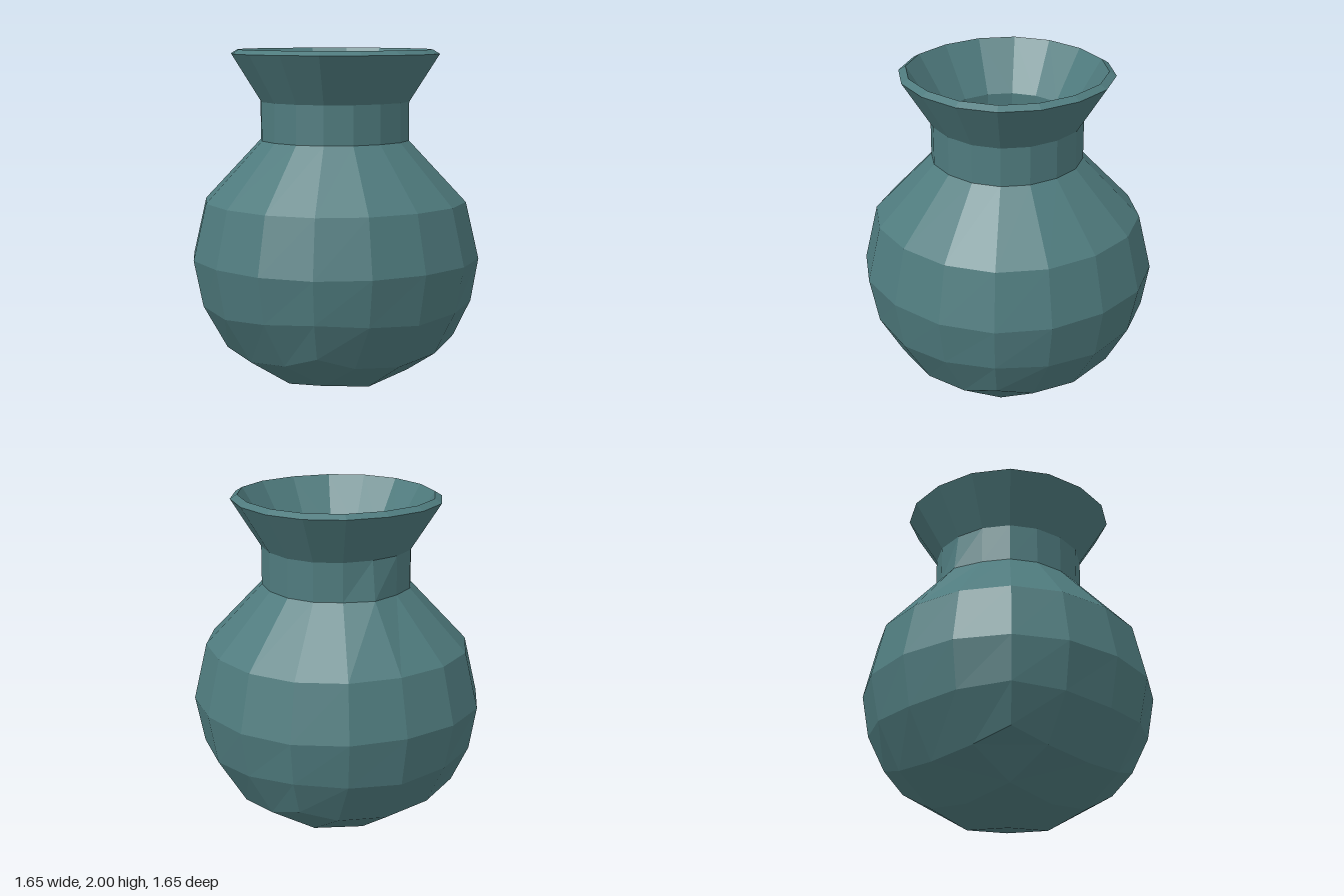
import * as THREE from 'three';

const SIDES = 16;
const CENTRE_Y = 0.83;

// Quarter of one rounded-cube face: sideways reach U and outward reach W,
// indexed by grid steps from the middle of the face.
const U = [[0, 0, 0], [0.33, 0.31, 0.29], [0.6, 0.57, 0.5]];
const W = [[0.825, 0.77, 0.6], [0.77, 0.72, 0.57], [0.6, 0.57, 0.5]];
const reach = (a, b) => Math.sign(a) * U[Math.abs(a)][Math.abs(b)];
const bulge = (a, b) => W[Math.abs(a)][Math.abs(b)];

// Loop of 16 points: four sides with four steps each
function loop(pointAt) {
  const points = [];
  for (let s = 0; s < 4; s++) {
    for (let t = -2; t < 2; t++) {
      const [along, y, out] = pointAt(t);
      points.push(new THREE.Vector3(along, y, out)
        .applyAxisAngle(new THREE.Vector3(0, 1, 0), s * Math.PI / 2));
    }
  }
  return points;
}

// Level loop of a given radius
const ring = (r, y) => loop(t => [reach(t, 0) * r / 0.825, y, bulge(t, 0) * r / 0.825]);

// Loop on the rounded-cube base, a number of steps below the middle
const baseLoop = (step, k) => loop(t =>
  [reach(t, step) * k, CENTRE_Y - U[step][Math.abs(t)] * k, bulge(t, step) * k]);

function addQuad(out, a, b, c, d, inward) {
  const order = inward ? [a, c, b, a, d, c] : [a, b, c, a, c, d];
  for (const p of order) out.push(p.x, p.y, p.z);
}

// Walls between successive loops, listed from bottom to top
function addWalls(out, loops, inward = false) {
  for (let k = 0; k + 1 < loops.length; k++) {
    const lo = loops[k], hi = loops[k + 1];
    for (let i = 0; i < SIDES; i++) {
      const j = (i + 1) % SIDES;
      addQuad(out, lo[i], lo[j], hi[j], hi[i], inward);
    }
  }
}

// Four by four rounded patch closing the bottom
function addBottom(out, k, inward = false) {
  const p = (i, j) => new THREE.Vector3(
    reach(i, j) * k,
    i === 0 && j === 0 ? CENTRE_Y * (1 - k) : CENTRE_Y - bulge(i, j) * k,
    reach(j, i) * k);
  for (let i = -2; i < 2; i++) {
    for (let j = -2; j < 2; j++) {
      addQuad(out, p(i, j), p(i + 1, j), p(i + 1, j + 1), p(i, j + 1), inward);
    }
  }
}

export function createModel() {
  const group = new THREE.Group();
  group.name = 'vase';
  const glaze = new THREE.MeshStandardMaterial({ color: 0x4f7b7e, flatShading: true });
  glaze.name = 'teal glaze';

  const addPart = (name, build) => {
    const positions = [];
    build(positions);
    const geometry = new THREE.BufferGeometry();
    geometry.setAttribute('position', new THREE.Float32BufferAttribute(positions, 3));
    geometry.computeVertexNormals();
    const mesh = new THREE.Mesh(geometry, glaze);
    mesh.name = name;
    group.add(mesh);
  };

  // Shoulder loop with one slightly pulled-out point on the right
  const shoulder = ring(0.425, 1.475);
  shoulder[14].x = -0.455;
  const neckTop = ring(0.425, 1.7);
  const lipOuter = ring(0.595, 1.975);
  const lipInner = ring(0.555, 2);
  const throat = ring(0.378, 1.71);
  const innerShoulder = ring(0.38, 1.46);

  addPart('body', out => {
    addBottom(out, 1);
    addWalls(out, [baseLoop(2, 1), baseLoop(1, 1), ring(0.825, 0.79), ring(0.75, 1.12), shoulder]);
  });
  addPart('neck', out => addWalls(out, [shoulder, neckTop]));
  addPart('flare', out => addWalls(out, [neckTop, lipOuter]));
  addPart('lip', out => addWalls(out, [lipOuter, lipInner]));

  // Inside surfaces face the hollow
  addPart('innerFlare', out => addWalls(out, [throat, lipInner], true));
  addPart('innerNeck', out => addWalls(out, [innerShoulder, throat], true));
  addPart('innerBody', out => {
    const k = 0.945;
    addBottom(out, k, true);
    addWalls(out, [baseLoop(2, k), baseLoop(1, k), ring(0.78, 0.79), ring(0.71, 1.1), innerShoulder], true);
  });

  return group;
}
